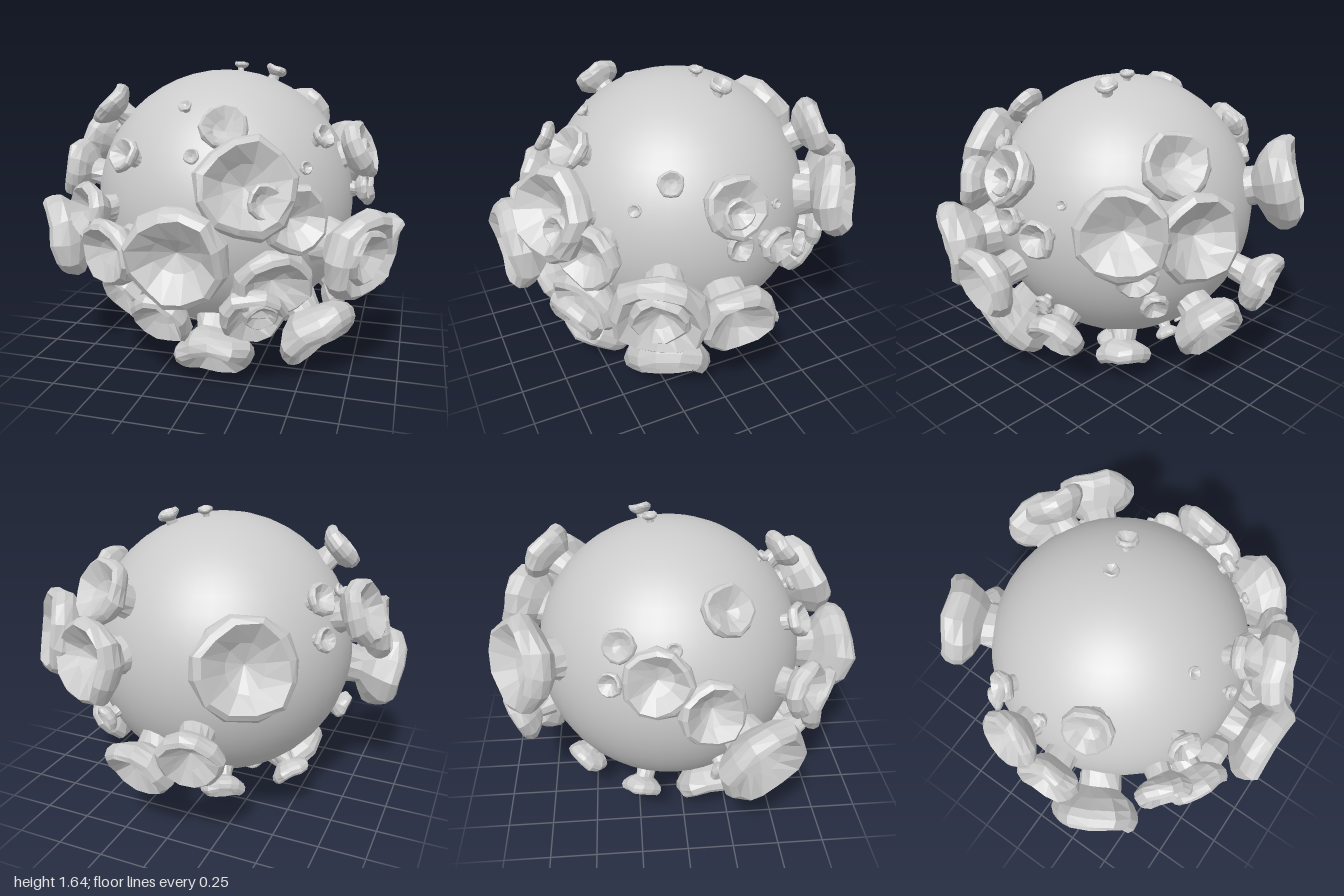
import * as THREE from 'three';

const CORE_RADIUS = 0.72;
const CENTER = new THREE.Vector3(-0.02, 0.87, -0.05);

// Cups listed by the side they grow on: [across, height, radius, lift above the core]
// "across" is x for front and back, z for left and right.
const FRONT = [
  [0, 0.79, 0.25], [0.31, 1.12, 0.245, -0.05], [0.39, 1.05, 0.09, 0.11], [0.52, 0.95, 0.17],
  [-0.38, 1.21, 0.09], [0.15, 1.37, 0.12], [-0.1, 1.44, 0.035], [-0.01, 1.22, 0.04],
  [-0.59, 0.91, 0.155], [-0.42, 0.73, 0.18], [-0.4, 0.47, 0.14], [-0.17, 0.375, 0.17],
  [0.42, 0.6, 0.2, -0.05], [0.32, 0.44, 0.17, 0.02], [0.36, 0.46, 0.09, 0.11], [0.07, 0.11, 0.215],
  [-0.42, 0.15, 0.19, -0.08], [-0.42, 0.15, 0.1, 0.03], [-0.22, 0.24, 0.04], [-0.22, 0.1, 0.06]
];
const LEFT = [
  [0.43, 0.71, 0.245], [0.43, 0.72, 0.15, 0.11], [-0.01, 1.2, 0.16, -0.04], [-0.01, 1.17, 0.08, 0.05],
  [0.25, 1.29, 0.065], [0.41, 1.15, 0.035], [-0.035, 0.97, 0.075], [-0.25, 0.93, 0.1],
  [-0.3, 1.09, 0.027], [0.035, 0.64, 0.2, 0.04], [-0.22, 0.32, 0.16], [-0.135, 0.5, 0.05],
  [-0.09, 0.44, 0.05], [0.28, 0.19, 0.235]
];
const RIGHT = [
  [0.19, 1.43, 0.13], [-0.33, 1.28, 0.085], [-0.38, 1.09, 0.065], [-0.16, 1.19, 0.17],
  [0.1, 1.03, 0.17], [0.38, 0.68, 0.24], [-0.07, 1.25, 0.04], [0.2, 0.47, 0.08],
  [-0.24, 0.22, 0.11]
];
const BACK = [
  [0.66, 1.05, 0.225], [0.34, 1.32, 0.17], [0.35, 1.0, 0.22, -0.02], [0.53, 0.79, 0.11],
  [0.39, 0.58, 0.075], [0.12, 0.4, 0.19], [-0.22, 0.58, 0.17, 0.03], [-0.48, 1.08, 0.25, -0.04],
  [0.3, 0.11, 0.15], [0.12, 0.26, 0.065], [-0.235, 0.22, 0.12], [-0.09, 0.23, 0.025],
  [0.14, 0.05, 0.11]
];
// Small cups on the crown: [x, z, radius]
const CROWN = [[0.045, -0.14, 0.04], [0.24, -0.185, 0.06]];

// Unit cup: short stem, thick rounded cap, hollow bowl facing outward
function cupGeometry(variant) {
  const profile = [
    [0.48, -0.15], [0.45, 0.32], [0.75, 0.5], [0.96, 0.72], [1, 0.9],
    [0.94, 1.08], [0.82, 1.17], [0.42, 0.86], [0, 0.66]
  ].map(([r, y]) => new THREE.Vector2(r, y));
  const geometry = new THREE.LatheGeometry(profile, 12);
  const p = geometry.attributes.position;
  for (let i = 0; i < p.count; i++) {
    const x = p.getX(i), y = p.getY(i), z = p.getZ(i);
    // Smooth position-based wobble keeps the seam closed
    p.setXYZ(i,
      x + 0.05 * Math.sin(5 * z + 3 * y + variant),
      y + 0.05 * Math.sin(4 * x + 3 * z + 2 * variant),
      z + 0.05 * Math.sin(5 * x - 4 * y + 3 * variant));
  }
  geometry.computeVertexNormals();
  return geometry;
}

export function createModel() {
  const model = new THREE.Group();
  model.name = 'cupCoveredBall';

  // Smooth core ball
  const smooth = new THREE.MeshStandardMaterial({ color: 0xcccccc });
  const core = new THREE.Mesh(new THREE.SphereGeometry(CORE_RADIUS, 40, 24), smooth);
  core.name = 'coreBall';
  core.position.copy(CENTER);
  model.add(core);

  // Faceted cups, all pointing away from the centre
  const faceted = new THREE.MeshStandardMaterial({ color: 0xcccccc, flatShading: true });
  const shapes = [0, 1.7, 3.1].map(cupGeometry);
  const up = new THREE.Vector3(0, 1, 0);
  let count = 0;

  function addCup(offset, radius, lift, group) {
    const direction = offset.clone().normalize();
    const cup = new THREE.Mesh(shapes[count % shapes.length], faceted);
    cup.name = 'cup' + (++count);
    cup.position.copy(CENTER).addScaledVector(direction, CORE_RADIUS + lift);
    cup.quaternion.setFromUnitVectors(up, direction);
    cup.rotateY(count * 2.4);
    cup.scale.setScalar(radius);
    group.add(cup);
  }

  // Solve the missing depth so each cap lies on its own shell around the core
  function addSide(name, cups, across, depth, sign) {
    const group = new THREE.Group();
    group.name = name;
    for (const [a, y, radius, lift = 0] of cups) {
      const offset = new THREE.Vector3();
      offset[across] = a - CENTER[across];
      offset.y = y - CENTER.y;
      const shell = CORE_RADIUS + lift + 1.1 * radius;
      offset[depth] = sign * Math.sqrt(Math.max(0, shell * shell - offset.lengthSq()));
      addCup(offset, radius, lift, group);
    }
    model.add(group);
  }

  addSide('frontCups', FRONT, 'x', 'z', 1);
  addSide('backCups', BACK, 'x', 'z', -1);
  addSide('leftCups', LEFT, 'z', 'x', 1);
  addSide('rightCups', RIGHT, 'z', 'x', -1);

  const crown = new THREE.Group();
  crown.name = 'crownCups';
  for (const [x, z, radius] of CROWN) {
    const dx = x - CENTER.x, dz = z - CENTER.z, shell = CORE_RADIUS + radius;
    addCup(new THREE.Vector3(dx, Math.sqrt(shell * shell - dx * dx - dz * dz), dz), radius, 0, crown);
  }
  model.add(crown);
  return model;
}
